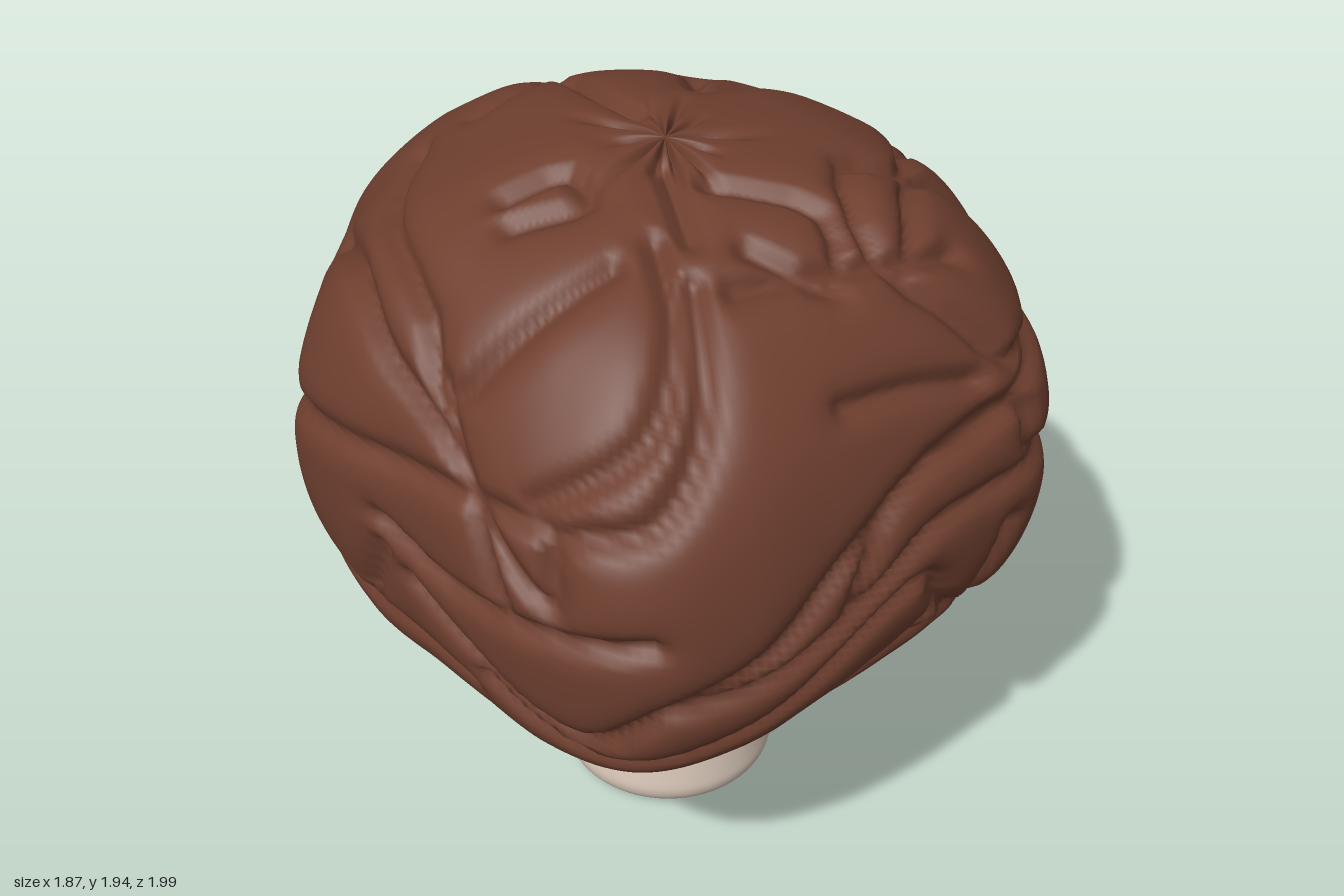
import * as THREE from 'three';
import { mergeVertices } from 'three/addons/utils/BufferGeometryUtils.js';

const V2 = (p) => new THREE.Vector2(p[0], p[1]);
const { lerp, smoothstep } = THREE.MathUtils;

// Cap radius every 15 degrees, from +z towards +x
const OUTLINE = [0.97, 0.9, 0.87, 0.9, 0.96, 0.95, 0.92, 0.9, 0.89, 0.89, 0.85, 0.88,
  0.96, 1.03, 1.08, 1.02, 0.92, 0.91, 0.93, 0.89, 0.84, 0.87, 0.95, 1.01];

// Cap section (share of radius, height), from the shallow hollow underneath up to the crown
const SECTION = [[0.2, 0.78], [0.34, 0.76], [0.47, 0.7], [0.58, 0.656], [0.69, 0.652], [0.8, 0.69],
  [0.89, 0.76], [0.95, 0.86], [0.985, 0.99], [1, 1.15], [0.985, 1.33], [0.93, 1.5], [0.83, 1.645],
  [0.68, 1.775], [0.5, 1.865], [0.3, 1.912], [0.12, 1.932], [0, 1.932]];

// Fold lines drawn on each side: front/back as (x, y), left/right as (z, y), top as (x, z)
const FOLDS = {
  front: [
    [[-.61, 1.63], [-.6, 1.48], [-.53, 1.35], [-.43, 1.27], [-.4, 1.43], [-.2, 1.48], [-.08, 1.63], [-.04, 1.83]],
    [[-.85, 1.2], [-.7, 1.15], [-.5, 1.18], [-.22, 1.22]],
    [[-.8, 1.05], [-.6, .93], [-.35, .87], [-.2, 1], [.06, 1.12], [.27, 1.3], [.47, 1.42], [.7, 1.43], [.87, 1.46]],
    [[-.2, 1], [.13, 1.05], [.4, 1.16], [.55, 1.26], [.72, 1.25], [.9, 1.17]],
    [[-.6, .88], [-.3, .79], [.1, .88], [.35, 1.02], [.55, 1.1], [.6, .95], [.5, .85]],
    [[.2, .75], [.47, .83], [.75, .82]],
    [[.27, 1.63], [.47, 1.6], [.63, 1.53]],
    [[.05, 1.82], [.4, 1.78], [.6, 1.7]],
  ],
  right: [
    [[.43, 1.74], [.44, 1.5], [0, 1.48], [-.02, 1.66], [.06, 1.77], [.43, 1.74]],
    [[.95, 1.1], [.83, 1.4], [.48, 1.42], [.49, 1.27], [.25, 1.2], [-.08, 1.18], [-.1, 1.08]],
    [[.57, 1.1], [.58, .85], [-.02, .82], [-.12, .9], [-.02, 1.02]],
    [[-.2, 1.7], [-.26, 1.48], [-.37, 1.28], [-.48, 1.12], [-.64, .92], [-.6, .78]],
    [[-.66, 1.65], [-.65, 1.45], [-.72, 1.18], [-.64, .92]],
    [[-.95, 1.3], [-.82, 1.25], [-.72, 1.1]],
    [[.78, 1.05], [.62, .85], [.25, .77], [-.4, .77], [-.6, .87]],
  ],
  top: [
    [[-.1, .38], [-.1, .6], [-.2, .77], [-.45, .76]],
    [[-.53, -.38], [-.62, -.13], [-.6, .3], [-.63, .48], [-.2, .42]],
    [[.18, -.5], [.15, -.32], [.38, -.43], [.6, -.28], [.75, -.35]],
    [[.06, .2], [.3, .3], [.28, .5], [.1, .42]],
    [[.62, -.2], [.55, .05], [.4, .1], [.4, .4], [.68, .45]],
    [[-.33, -.6], [-.28, -.78], [-.12, -.73], [-.2, -.52], [-.38, -.38]],
    [[-.4, .1], [-.25, .08], [-.22, .2], [-.4, .2]],
    [[-.04, -.15], [-.1, -.28], [-.15, -.5]],
    [[-.03, .12], [-.02, .38]],
    [[.25, -.7], [.5, -.7]],
  ],
  back: [
    [[-.7, 1.4], [-.4, 1.42], [-.2, 1.3], [0, 1.12], [.3, 1.06]],
    [[-.85, 1.1], [-.5, 1], [-.3, 1.08], [-.1, 1.04]],
    [[-.5, 1], [-.55, .85], [-.3, .75]],
  ],
  left: [
    [[.8, 1.2], [.6, 1.5], [.3, 1.6], [0, 1.65], [-.3, 1.55]],
    [[.8, 1.45], [.4, 1.4], [0, 1.3], [-.4, 1.2], [-.8, 1.15]],
    [[.6, .8], [.1, .9], [-.2, 1.02], [-.6, 1], [-.9, 1.1]],
    [[-.2, 1.02], [-.35, .8]],
    [[.4, 1.1], [.3, .9]],
  ],
};

const CENTRE_Y = 1.13;
const SIZE = [0.93, 0.81, 1];
const lift = (a, b) => Math.sqrt(Math.max(0, 1 - a * a - b * b));

// Place a drawn point on the unit sphere
function toSphere(side, [a, b]) {
  const v = new THREE.Vector3();
  if (side === 'top') {
    const x = a / SIZE[0], z = b / SIZE[2];
    v.set(x, lift(x, z), z);
  } else {
    const y = (b - CENTRE_Y) / SIZE[1];
    const facesZ = side === 'front' || side === 'back';
    const u = a / (facesZ ? SIZE[0] : SIZE[2]);
    const out = lift(u, y) * (side === 'back' || side === 'left' ? -1 : 1);
    facesZ ? v.set(u, y, out) : v.set(out, y, u);
  }
  return v.normalize();
}

// Smooth every fold and cut it into short segments
function foldSegments() {
  const segments = [];
  for (const [side, lines] of Object.entries(FOLDS)) {
    for (const line of lines) {
      const curve = new THREE.CatmullRomCurve3(line.map((p) => toSphere(side, p)));
      const pts = curve.getPoints((line.length - 1) * 3).map((p) => p.normalize());
      for (let i = 1; i < pts.length; i++) segments.push(new THREE.Line3(pts[i - 1], pts[i]));
    }
  }
  return segments;
}

function outlineRadius(angle) {
  const n = OUTLINE.length;
  const t = ((angle / (2 * Math.PI)) * n + n) % n;
  const i = Math.floor(t), f = t - i;
  const [a, b, c, d] = [-1, 0, 1, 2].map((k) => OUTLINE[(i + k + n) % n]);
  return b + 0.5 * f * (c - a + f * (2 * a - 5 * b + 4 * c - d + f * (3 * (b - c) + d - a)));
}

function capGeometry() {
  const profile = new THREE.SplineCurve(SECTION.map(V2)).getSpacedPoints(150);
  profile[150].x = 0;
  let geo = new THREE.LatheGeometry(profile, 260);
  const pos = geo.attributes.position;
  const segments = foldSegments();
  const p = new THREE.Vector3(), dir = new THREE.Vector3(), near = new THREE.Vector3();
  for (let i = 0; i < pos.count; i++) {
    p.fromBufferAttribute(pos, i);
    const angle = Math.atan2(p.x, p.z);
    const r = Math.hypot(p.x, p.z);
    const low = 1 - smoothstep(p.y, 0.68, 1.1);
    const nearStem = p.y < 0.9 ? smoothstep(r, 0.25, 0.6) : 1;
    // irregular outline, rounder towards the crown and round at the stem
    let k = lerp(outlineRadius(angle), 0.935, 0.4 * smoothstep(p.y, 1.35, 1.8));
    k *= 1 - 0.04 * low * (1 - Math.cos(angle + 0.5));
    k = lerp(1, k, nearStem);
    p.x *= k;
    p.z *= k;
    // wavy lower rim
    p.y += low * nearStem * (0.032 * Math.sin(2 * angle) + 0.007 * Math.sin(7 * angle) + 0.01);
    // distance to the nearest fold
    dir.set(p.x / SIZE[0], (p.y - CENTRE_Y) / SIZE[1], p.z / SIZE[2]).normalize();
    let d = 1;
    for (const s of segments) {
      if (s.start.distanceToSquared(dir) > 0.12) continue;
      s.closestPointToPoint(dir, true, near);
      d = Math.min(d, near.distanceTo(dir));
    }
    // broad hollow with a sharp crease in the middle, plus soft waves
    const broad = Math.max(0, 1 - d / 0.12), crease = Math.max(0, 1 - d / 0.045);
    const wave = 0.006 * Math.sin(7 * dir.x + 3 * dir.y) * Math.sin(6 * dir.z - 4 * dir.y);
    const cut = 0.026 * broad * broad + 0.026 * crease - wave - 0.004;
    p.y -= CENTRE_Y;
    p.multiplyScalar(1 - cut);
    p.y += CENTRE_Y;
    // pleats gathered at the crown, of uneven length
    const reach = 0.24 + 0.06 * Math.sin(5 * angle);
    if (p.y > 1.5 && r < reach) {
      const pleat = Math.pow(Math.abs(Math.cos(6 * angle + Math.sin(2 * angle))), 5);
      p.y -= 0.04 * pleat * Math.min(1, r / 0.05) * (1 - r / reach);
    }
    pos.setXYZ(i, p.x, p.y, p.z);
  }
  geo.deleteAttribute('uv');
  geo.deleteAttribute('normal');
  geo = mergeVertices(geo, 1e-5);
  geo.computeVertexNormals();
  return geo;
}

export function createModel() {
  const brown = new THREE.MeshStandardMaterial({ name: 'capBrown', color: 0x6e3f2f, side: THREE.DoubleSide });
  const cream = new THREE.MeshStandardMaterial({ name: 'stemCream', color: 0xdccabb, side: THREE.DoubleSide });
  const group = new THREE.Group();
  group.name = 'mushroom';

  const cap = new THREE.Mesh(capGeometry(), brown);
  cap.name = 'wrinkledCap';

  // Stem, widening at the foot and flaring slightly into the cap
  const wall = new THREE.SplineCurve([[0.2, 0], [0.26, 0.012], [0.29, 0.055], [0.287, 0.13], [0.262, 0.33],
    [0.242, 0.53], [0.237, 0.66], [0.255, 0.72], [0.31, 0.775]].map(V2)).getPoints(48);
  const stem = new THREE.Mesh(new THREE.LatheGeometry([new THREE.Vector2(0, 0), ...wall], 64), cream);
  stem.name = 'stem';
  stem.position.x = 0.008;

  group.add(cap, stem);
  return group;
}
